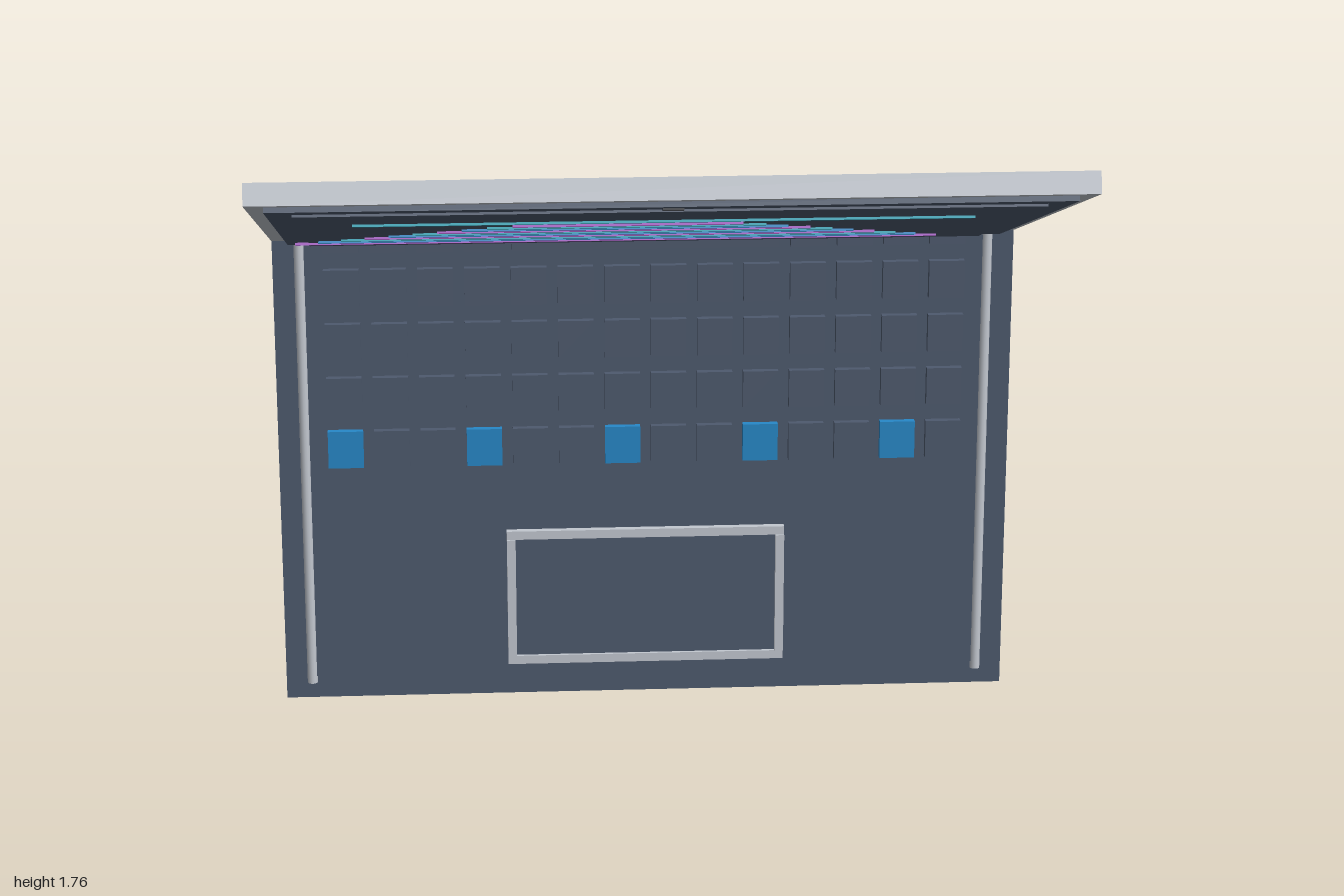
import * as THREE from 'three';

const mat = (name, color) => {
  const m = new THREE.MeshStandardMaterial({ color });
  m.name = name;
  return m;
};

export function createModel() {
  const slate = mat('slate', 0x4e5a6e);
  const silver = mat('silver', 0xc3c8d0);
  const blue = mat('blue', 0x2788c8);
  const teal = mat('teal', 0x2aa5b8);
  const purple = mat('purple', 0xa85cc8);
  const black = mat('camera black', 0x20242c);

  // Box given by its limits on each axis
  const box = (parent, name, material, [x0, x1], [y0, y1], [z0, z1]) => {
    const mesh = new THREE.Mesh(new THREE.BoxGeometry(x1 - x0, y1 - y0, z1 - z0), material);
    mesh.position.set((x0 + x1) / 2, (y0 + y1) / 2, (z0 + z1) / 2);
    mesh.name = name;
    parent.add(mesh);
    return mesh;
  };

  const laptop = new THREE.Group();
  laptop.name = 'laptop';

  // Upright base with a slightly raised deck
  const base = new THREE.Group();
  base.name = 'base';
  laptop.add(base);
  box(base, 'baseBody', slate, [-1, 1], [0, 1.36], [-0.65, -0.573]);
  box(base, 'deck', slate, [-0.92, 0.92], [0.065, 1.3], [-0.575, -0.567]);

  // Side rails
  for (const side of [-1, 1]) {
    const rail = new THREE.Mesh(new THREE.CylinderGeometry(0.014, 0.014, 1.27, 12), silver);
    rail.position.set(side * 0.928, 0.68, -0.572);
    rail.name = side > 0 ? 'leftRail' : 'rightRail';
    base.add(rail);
  }

  // Keyboard: the fifth row has a space bar in its middle
  const keyboard = new THREE.Group();
  keyboard.name = 'keyboard';
  base.add(keyboard);
  const keyZ = [-0.568, -0.546];
  for (let row = 0; row < 5; row++) {
    const y = 0.73 + row * 0.151;
    for (let col = 0; col < 14; col++) {
      if (row === 4 && col > 3 && col < 10) continue;
      const x = (col - 6.5) * 0.1257;
      const accent = row === 0 && col % 3 === 0 && col < 13;
      box(keyboard, accent ? 'accentKey' : 'key', accent ? blue : slate,
        [x - 0.048, x + 0.048], [y - 0.052, y + 0.052], keyZ);
    }
  }
  box(keyboard, 'spaceBar', slate, [-0.36, 0.36], [1.283, 1.385], keyZ);

  // Trackpad with a four-bar frame
  box(base, 'trackpad', slate, [-0.36, 0.36], [0.115, 0.465], [-0.57, -0.556]);
  for (const y of [0.107, 0.473])
    box(base, 'trackpadFrameBar', silver, [-0.383, 0.383], [y - 0.012, y + 0.012], [-0.57, -0.547]);
  for (const x of [-0.371, 0.371])
    box(base, 'trackpadFrameSide', silver, [x - 0.012, x + 0.012], [0.119, 0.461], [-0.57, -0.541]);

  // Hinge barrel
  const hinge = new THREE.Mesh(new THREE.CylinderGeometry(0.024, 0.024, 1.8, 20), silver);
  hinge.rotation.z = Math.PI / 2;
  hinge.position.set(0, 1.35, -0.59);
  hinge.name = 'hinge';
  laptop.add(hinge);

  // Lid, tilted 18 degrees; its local z runs from the hinge to the free edge
  const lid = new THREE.Group();
  lid.name = 'lid';
  lid.position.set(0, 1.314, -0.566);
  lid.rotation.x = -Math.PI / 10;
  laptop.add(lid);
  box(lid, 'lidShell', silver, [-1, 1], [0, 0.055], [0, 1.28]);
  box(lid, 'screenBezel', slate, [-0.955, 0.955], [-0.013, 0.001], [0.037, 1.243]);
  box(lid, 'display', slate, [-0.893, 0.893], [-0.019, -0.012], [0.06, 1.168]);
  box(lid, 'camera', black, [-0.025, 0.025], [-0.019, -0.012], [1.197, 1.213]);

  // Coloured lines on the display, widening towards the hinge
  const lineY = [-0.025, -0.018];
  box(lid, 'headerLine', teal, [-0.76, 0.76], lineY, [0.872, 0.888]);
  const lineColours = [purple, teal, blue];
  for (let i = 0; i < 10; i++) {
    const z = 0.777 - i * 0.0647;
    box(lid, 'screenLine', lineColours[i % 3],
      [Math.max(-0.37 - i * 0.062, -0.93), 0.2 + i * 0.062], lineY, [z - 0.008, z + 0.008]);
  }

  return laptop;
}
